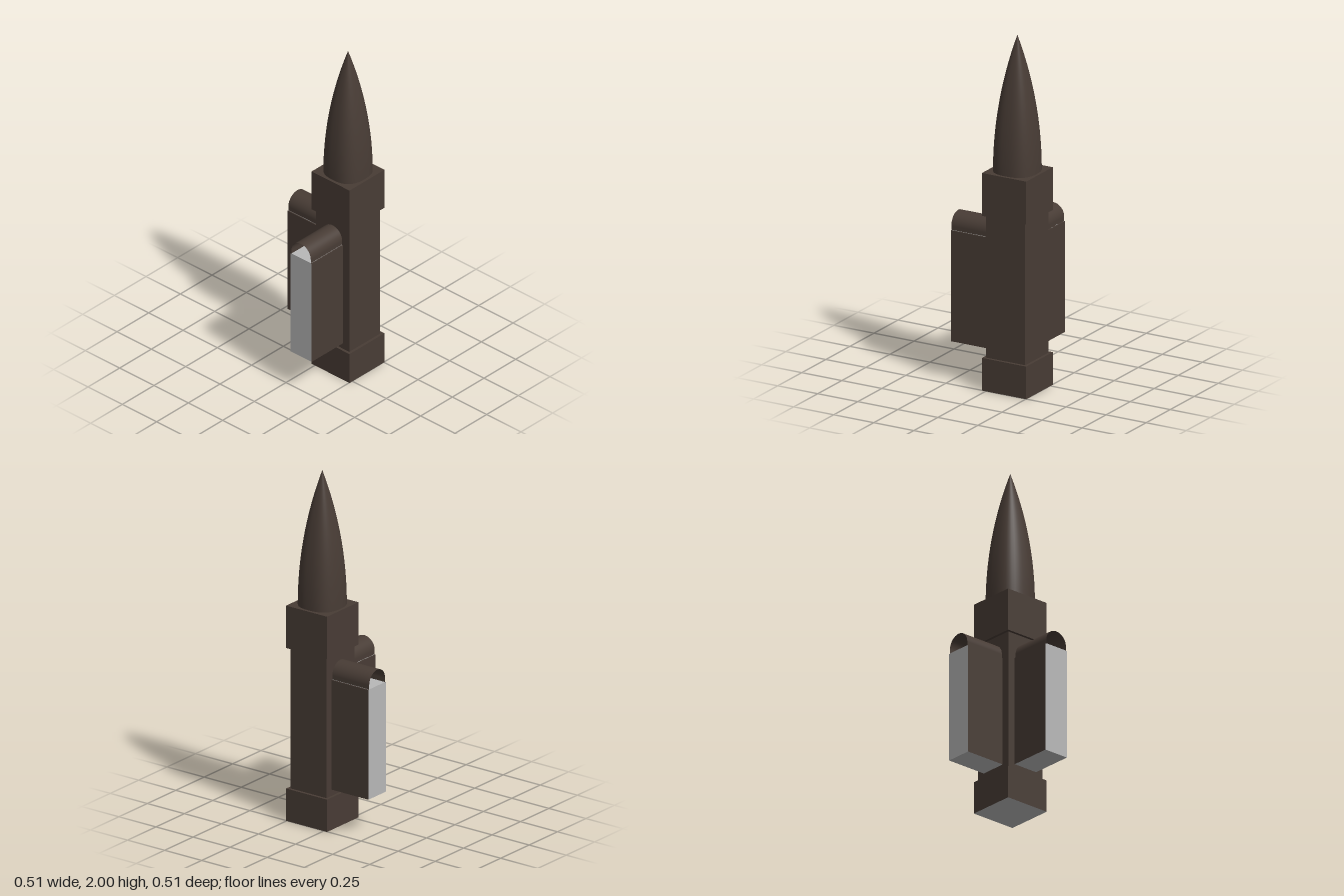
import * as THREE from 'three';

const brown = new THREE.MeshStandardMaterial({ color: 0x483c35, side: THREE.DoubleSide });
brown.name = 'dark brown';
const grey = new THREE.MeshStandardMaterial({ color: 0xb8b8b8 });
grey.name = 'plain grey';

const HALF = 0.122; // half width of the shaft and spire

function add(parent, name, geometry, material, x = 0, y = 0, z = 0) {
  const mesh = new THREE.Mesh(geometry, material);
  mesh.name = name;
  mesh.position.set(x, y, z);
  parent.add(mesh);
  return mesh;
}

// Square block standing from y0 to y1
function block(parent, name, half, y0, y1, materials) {
  add(parent, name, new THREE.BoxGeometry(half * 2, y1 - y0, half * 2), materials, 0, (y0 + y1) / 2, 0);
}

// Pointed ogive with a rounded-square cross-section
function spireGeometry(height) {
  const R = (HALF * HALF + height * height) / (2 * HALF);
  const profile = [];
  for (let i = 0; i <= 24; i++) {
    const y = (height * i) / 24;
    profile.push(new THREE.Vector2(Math.max(0, Math.sqrt(R * R - y * y) - (R - HALF)), y));
  }
  const geometry = new THREE.LatheGeometry(profile, 48);
  const p = geometry.attributes.position;
  const n = 2.6;
  for (let i = 0; i < p.count; i++) {
    const x = p.getX(i), z = p.getZ(i), r = Math.hypot(x, z);
    if (r < 1e-6) continue;
    const k = Math.pow(Math.pow(Math.abs(x / r), n) + Math.pow(Math.abs(z / r), n), -1 / n);
    p.setX(i, x * k);
    p.setZ(i, z * k);
  }
  geometry.computeVertexNormals();
  return geometry;
}

// Wing reaching out along -z from the shaft: box with an open barrel vault on top
function makeWing(name) {
  const wing = new THREE.Group();
  wing.name = name;
  const bottom = 0.22, spring = 0.848, top = 0.942, r = 0.07;
  const near = -HALF, far = -0.37, length = near - far, mid = (near + far) / 2;

  // Side order: +x, -x, top, bottom, +z, -z
  add(wing, 'wingBody', new THREE.BoxGeometry(0.153, spring - bottom, length),
    [brown, brown, brown, grey, brown, grey], 0, (spring + bottom) / 2, mid);
  add(wing, 'vaultFloor', new THREE.BoxGeometry(r * 2, 0.002, length), grey, 0, spring + 0.001, mid);

  // Short upright walls under the half-round roof
  const rise = top - r - spring;
  for (const s of [-1, 1]) {
    const wall = add(wing, 'vaultWall', new THREE.PlaneGeometry(length, rise), brown, s * r, spring + rise / 2, mid);
    wall.rotation.y = s * Math.PI / 2;
  }
  const roof = new THREE.CylinderGeometry(r, r, length, 24, 1, true, Math.PI / 2, Math.PI);
  roof.rotateX(Math.PI / 2);
  // Keep the half that arches upward
  roof.computeBoundingBox();
  if (roof.boundingBox.min.y < -r / 2) roof.rotateZ(Math.PI);
  add(wing, 'vaultRoof', roof, brown, 0, top - r, mid);
  return wing;
}

export function createModel() {
  const model = new THREE.Group();
  model.name = 'tower';
  const tower = new THREE.Group();
  tower.name = 'towerBody';
  tower.position.set(0.115, 0, 0.115);
  model.add(tower);

  block(tower, 'base', 0.138, 0, 0.185, [brown, brown, brown, grey, brown, brown]);
  block(tower, 'shaft', HALF, 0.185, 0.99, brown);
  block(tower, 'collar', 0.138, 0.99, 1.233, brown);
  add(tower, 'spire', spireGeometry(0.767), brown, 0, 1.233, 0);

  // Matching wings at the back and on the right
  tower.add(makeWing('backWing'));
  const sideWing = makeWing('rightWing');
  sideWing.rotation.y = Math.PI / 2;
  tower.add(sideWing);
  return model;
}
